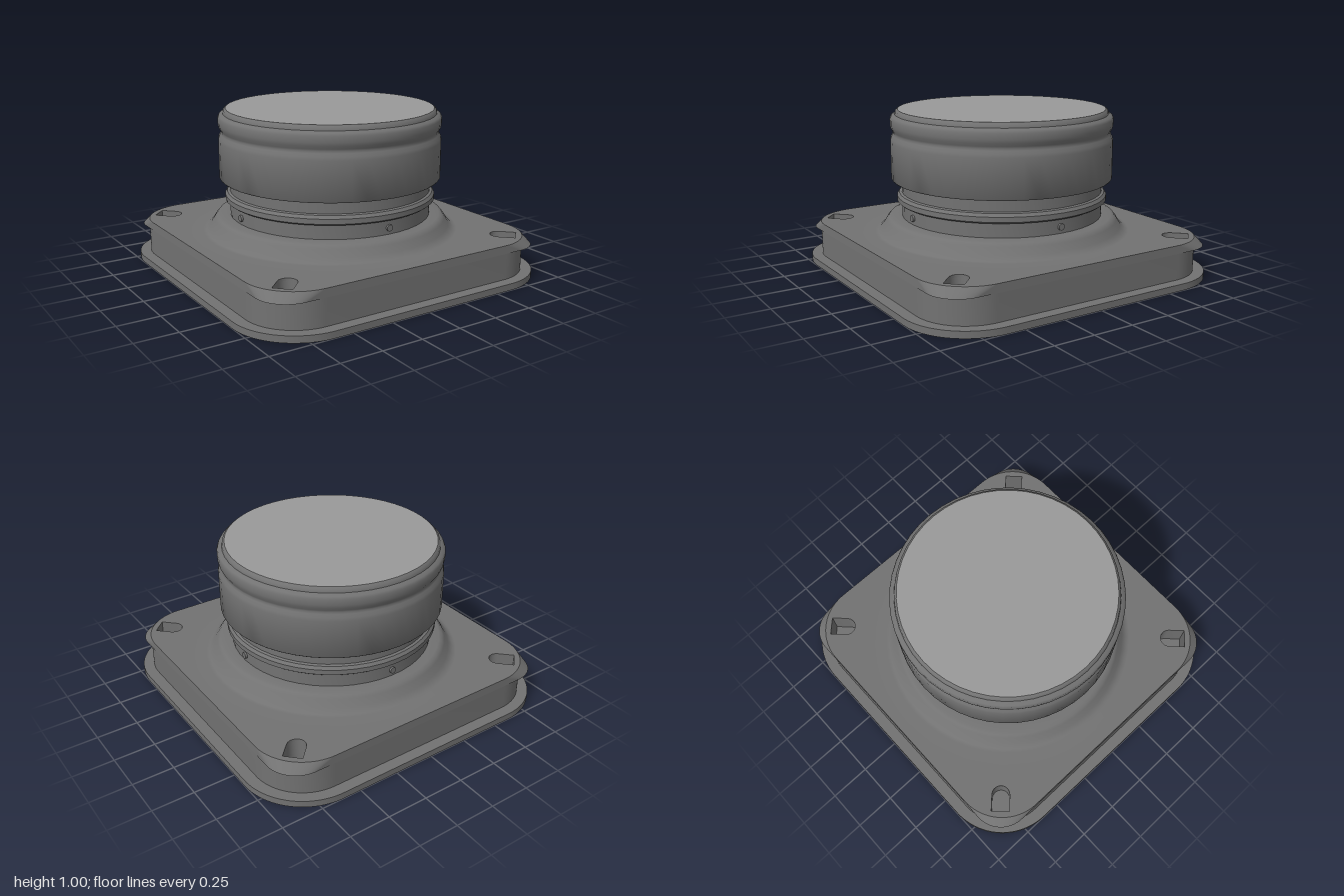
import * as THREE from 'three';
import { toCreasedNormals } from 'three/addons/utils/BufferGeometryUtils.js';

const bodyMaterial = new THREE.MeshStandardMaterial({ color: 0x727272, side: THREE.DoubleSide });
const paleMaterial = new THREE.MeshStandardMaterial({ color: 0x999999, side: THREE.DoubleSide });

function add(parent, name, geometry, material = bodyMaterial) {
  const mesh = new THREE.Mesh(geometry, material);
  mesh.name = name;
  parent.add(mesh);
  return mesh;
}

// Square outline with half-width h and corner radius r
function roundedSquare(h, r, Type = THREE.Shape) {
  const s = new Type();
  const c = h - r;
  s.moveTo(h, -c);
  s.absarc(c, c, r, 0, Math.PI / 2, false);
  s.absarc(-c, c, r, Math.PI / 2, Math.PI, false);
  s.absarc(-c, -c, r, Math.PI, Math.PI * 1.5, false);
  s.absarc(c, -c, r, Math.PI * 1.5, Math.PI * 2, false);
  s.closePath();
  return s;
}

// Slot along a diagonal, rounded at its inner end and square at its outer end
function slot(angle, w, outer, Type) {
  const pts = [[outer, -w], [outer, w]];
  for (let i = 0; i <= 10; i++) {
    const a = Math.PI / 2 + (i / 10) * Math.PI;
    pts.push([1.05 + w * Math.cos(a), w * Math.sin(a)]);
  }
  const c = Math.cos(angle), s = Math.sin(angle);
  return new Type(pts.map(([x, y]) => new THREE.Vector2(x * c - y * s, x * s + y * c)));
}

// Extrude a plan outline upwards from y0 to y1
function slab(shape, y0, y1) {
  const g = new THREE.ExtrudeGeometry(shape, { depth: y1 - y0, bevelEnabled: false, curveSegments: 12 });
  g.rotateX(-Math.PI / 2);
  g.translate(0, y0, 0);
  return toCreasedNormals(g, 0.6);
}

// Revolve [radius, height] pairs, keeping sharp steps crisp
function turned(pairs, crease = 0.6, segments = 48) {
  return toCreasedNormals(new THREE.LatheGeometry(pairs.map(p => new THREE.Vector2(...p)), segments), crease);
}

export function createModel() {
  const model = new THREE.Group();
  model.name = 'roofVent';
  const diagonals = [1, 3, 5, 7].map(k => k * Math.PI / 4);

  // Hollow square base
  const base = new THREE.Group();
  base.name = 'base';
  model.add(base);

  const flange = roundedSquare(1, 0.39);
  flange.holes.push(roundedSquare(0.91, 0.29, THREE.Path));
  add(base, 'bottomFlange', slab(flange, 0, 0.04));

  const wall = roundedSquare(0.93, 0.31);
  wall.holes.push(roundedSquare(0.91, 0.29, THREE.Path));
  add(base, 'baseWall', slab(wall, 0.04, 0.235));

  const plate = roundedSquare(0.93, 0.31);
  plate.holes.push(new THREE.Path().absarc(0, 0, 0.87, 0, Math.PI * 2, true));
  diagonals.forEach(a => plate.holes.push(slot(a, 0.055, 1.15, THREE.Path)));
  add(base, 'topPlate', slab(plate, 0.235, 0.25));

  // Thin drip lip flaring out under the plate at each corner
  const top = roundedSquare(0.93, 0.31).getPoints(12);
  const bottom = roundedSquare(0.932, 0.19).getPoints(12);
  const positions = [], index = [];
  top.forEach((p, i) => {
    positions.push(p.x, 0.25, -p.y, bottom[i].x, 0.2, -bottom[i].y);
    const a = i * 2, b = ((i + 1) % top.length) * 2;
    index.push(a, a + 1, b, b, a + 1, b + 1);
  });
  const lip = new THREE.BufferGeometry();
  lip.setAttribute('position', new THREE.Float32BufferAttribute(positions, 3));
  lip.setIndex(index);
  lip.computeVertexNormals();
  add(base, 'cornerLip', lip);

  // Screw pockets sunk into the corners
  diagonals.forEach(a => {
    const sides = slot(a, 0.06, 1.16, THREE.Shape);
    sides.holes.push(slot(a, 0.055, 1.15, THREE.Path));
    add(base, 'pocketWall', slab(sides, 0.08, 0.245));
    add(base, 'pocketFloor', slab(slot(a, 0.06, 1.16, THREE.Shape), 0.07, 0.08));
  });

  // Shoulder sweeping smoothly up from the plate to the foot of the neck
  add(model, 'shoulder', turned([
    [0.875, 0.25], [0.79, 0.25], [0.77, 0.252], [0.74, 0.28], [0.715, 0.32], [0.70, 0.338], [0.68, 0.345],
    [0.61, 0.345], [0.61, 0.33], [0.69, 0.33], [0.71, 0.30], [0.74, 0.255], [0.77, 0.235], [0.875, 0.235]
  ], 0.75));

  // Neck pipe with a raised ring
  add(model, 'neck', turned([
    [0.62, 0.335], [0.62, 0.43], [0.635, 0.432], [0.648, 0.442], [0.648, 0.472], [0.635, 0.49],
    [0.62, 0.495], [0.62, 0.88], [0.60, 0.88], [0.60, 0.335], [0.62, 0.335]
  ]));

  // Small studs around the foot of the neck
  for (let i = 0; i < 4; i++) {
    const a = i * Math.PI / 2;
    const stud = add(model, 'neckStud', new THREE.CylinderGeometry(0.02, 0.02, 0.04, 12));
    stud.rotation.set(0, -a, Math.PI / 2, 'YXZ');
    stud.position.set(Math.cos(a) * 0.612, 0.385, Math.sin(a) * 0.612);
  }

  // Cap with a softly pinched waist below its rim
  add(model, 'cap', turned([
    [0.62, 0.572], [0.675, 0.572], [0.682, 0.58], [0.682, 0.81], [0.678, 0.83], [0.668, 0.848],
    [0.664, 0.86], [0.668, 0.872], [0.678, 0.89], [0.682, 0.91], [0.682, 0.945], [0.675, 0.96],
    [0.652, 0.97], [0.648, 0.99], [0.635, 1]
  ], 0.9));
  add(model, 'capTop', turned([[0.635, 1], [0, 1]]), paleMaterial);
  add(model, 'capCeiling', turned([[0, 0.88], [0.62, 0.88]]));
  add(model, 'capPost', turned([[0.08, 0.65], [0.08, 0.88]]));
  add(model, 'capPostEnd', turned([[0, 0.65], [0.08, 0.65]]), paleMaterial);

  // Cross of spokes and a stepped hub inside the neck
  for (let i = 0; i < 2; i++) {
    const bar = add(model, 'spokes', new THREE.BoxGeometry(1.22, 0.04, 0.03));
    bar.position.y = 0.36;
    bar.rotation.y = i * Math.PI / 2;
  }
  add(model, 'hub', turned([
    [0, 0.27], [0.03, 0.27], [0.035, 0.31], [0.055, 0.315], [0.055, 0.36], [0.04, 0.365], [0.04, 0.42], [0, 0.42]
  ], 0.6, 20));

  return model;
}
